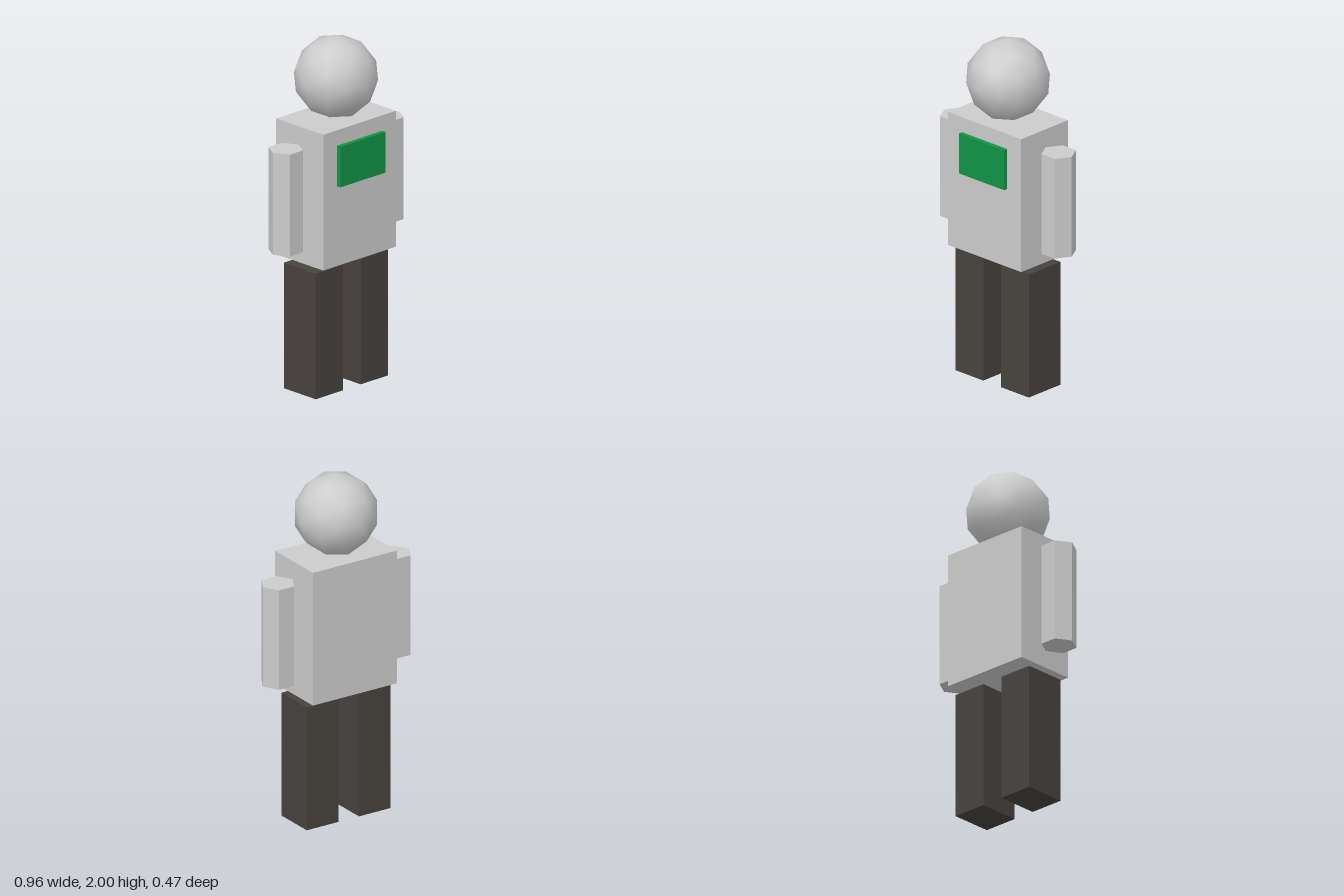
import * as THREE from 'three';

export function createModel() {
  const model = new THREE.Group();
  model.name = 'blockFigure';

  const grey = new THREE.MeshStandardMaterial({ color: 0xcccccc });
  const flatGrey = new THREE.MeshStandardMaterial({ color: 0xcccccc, flatShading: true });
  const dark = new THREE.MeshStandardMaterial({ color: 0x47423e });
  const green = new THREE.MeshStandardMaterial({ color: 0x119447 });

  const add = (name, geometry, material, x, y, z) => {
    const mesh = new THREE.Mesh(geometry, material);
    mesh.name = name;
    mesh.position.set(x, y, z);
    model.add(mesh);
    return mesh;
  };

  // Low-poly ball head with smooth normals
  const head = new THREE.IcosahedronGeometry(0.235, 1).rotateY(Math.PI / 2);
  add('head', head, grey, 0, 1.765, 0);

  // Torso and chest panel
  add('torso', new THREE.BoxGeometry(0.55, 0.784, 0.367), grey, 0, 1.15, 0);
  add('chestPanel', new THREE.BoxGeometry(0.34, 0.235, 0.04), green, 0, 1.336, 0.189);

  // Hexagonal arms (corners pointing sideways) and box legs
  const arm = new THREE.CylinderGeometry(0.098, 0.098, 0.588, 6).rotateY(Math.PI / 2);
  const leg = new THREE.BoxGeometry(0.208, 0.725, 0.248);
  for (const [side, s] of [['left', 1], ['right', -1]]) {
    add(side + 'Arm', arm, flatGrey, s * 0.381, 1.147, 0);
    add(side + 'Leg', leg, dark, s * 0.171, 0.3625, 0);
  }

  return model;
}
